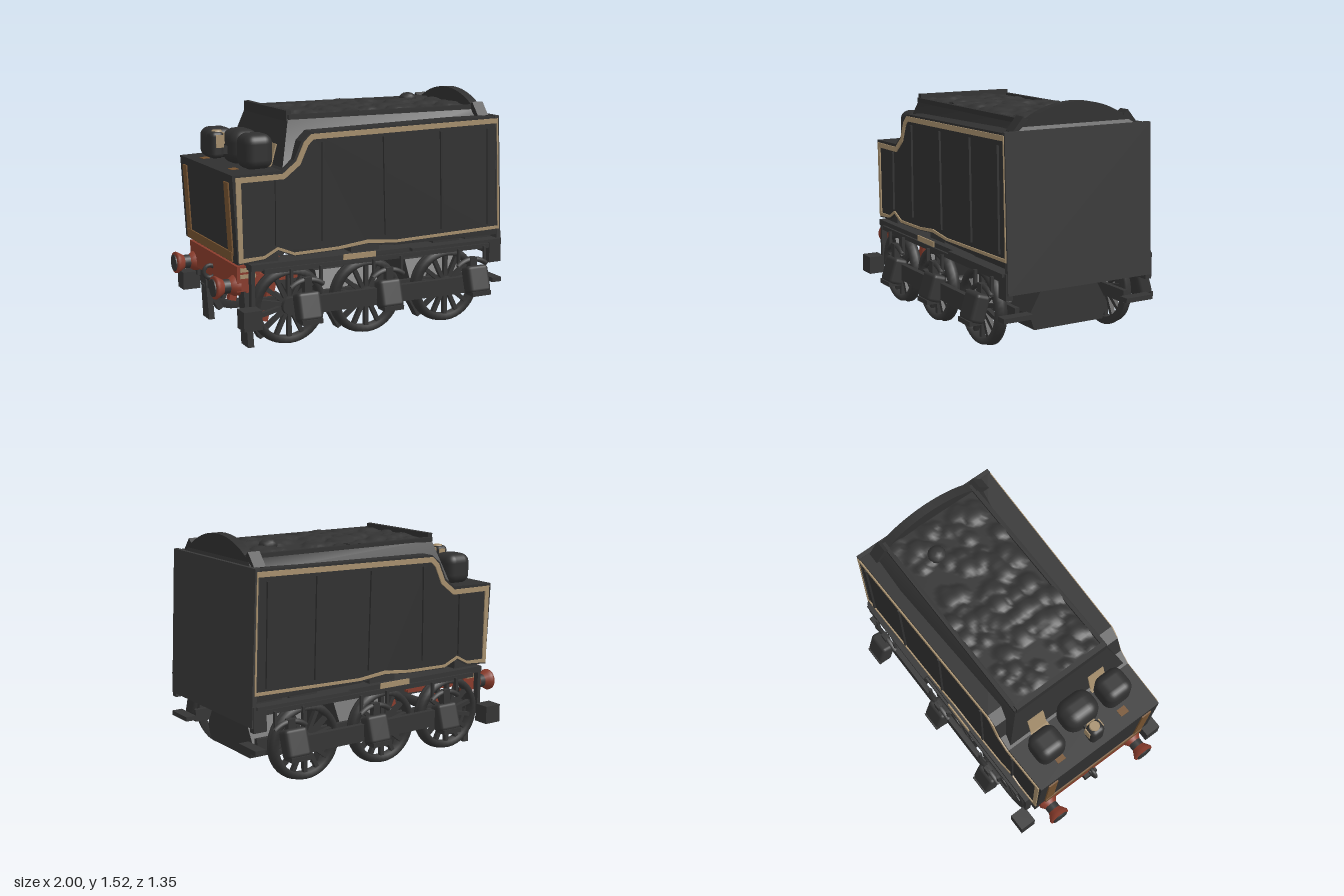
import * as THREE from 'three';
import { RoundedBoxGeometry } from 'three/addons/geometries/RoundedBoxGeometry.js';

const mat = (name, color, side = THREE.FrontSide) => {
  const m = new THREE.MeshStandardMaterial({ color, side });
  m.name = name;
  return m;
};

export function createModel() {
  const root = new THREE.Group();
  root.name = 'tender';
  const body = mat('body black', 0x303030);
  const iron = mat('iron grey', 0x353535, THREE.DoubleSide);
  const plate = mat('end plate grey', 0x393939);
  const coalMat = mat('coal black', 0x333333, THREE.DoubleSide);
  const gold = mat('lining tan', 0xa68f6d);
  const brown = mat('worn brown', 0x765330);
  const red = mat('beam red', 0x8a3c2c);

  const add = (name, geo, m, x = 0, y = 0, z = 0, parent = root) => {
    const mesh = new THREE.Mesh(geo, m);
    mesh.name = name;
    mesh.position.set(x, y, z);
    parent.add(mesh);
    return mesh;
  };
  // Box given by its limits on each axis
  const block = (name, m, x0, x1, y0, y1, z0, z1) =>
    add(name, new THREE.BoxGeometry(x1 - x0, y1 - y0, z1 - z0), m,
      (x0 + x1) / 2, (y0 + y1) / 2, (z0 + z1) / 2);
  const warp = (geo, fn) => {
    const p = geo.attributes.position, v = new THREE.Vector3();
    for (let i = 0; i < p.count; i++) {
      fn(v.fromBufferAttribute(p, i));
      p.setXYZ(i, v.x, v.y, v.z);
    }
    geo.computeVertexNormals();
    return geo;
  };
  const points = pts => pts.map(p => new THREE.Vector2(...p));
  const shape = pts => new THREE.Shape(points(pts));
  // The body narrows slightly toward its low end
  const halfWidth = x => 0.487 + 0.025 * x;
  const taper = geo => warp(geo, v => { v.z *= halfWidth(v.x) / 0.5; });
  const slab = (s, z0, z1) =>
    new THREE.ExtrudeGeometry(s, { depth: z1 - z0, bevelEnabled: false }).translate(0, 0, z0);

  // Water tank body with the stepped side outline
  const outline = [[-0.87, 0.55], [-0.7, 0.565], [-0.61, 0.615], [-0.5, 0.57], [-0.2, 0.58], [0, 0.6], [0.2, 0.575],
    [0.98, 0.575], [0.945, 1.365], [-0.38, 1.335], [-0.45, 1.28], [-0.5, 1.17], [-0.58, 1.11], [-0.9, 1.1]];
  add('tankBody', taper(slab(shape(outline), -0.5, 0.5)), body);

  // Tan lining frame and raised seams on both sides
  const outer = [[-0.865, 0.56], [-0.7, 0.575], [-0.61, 0.622], [-0.5, 0.578], [-0.2, 0.587], [0, 0.607], [0.2, 0.592],
    [0.977, 0.615], [0.945, 1.352], [-0.385, 1.322], [-0.435, 1.275], [-0.487, 1.16], [-0.575, 1.09], [-0.88, 1.085]];
  const inner = [[-0.837, 0.587], [-0.7, 0.592], [-0.61, 0.64], [-0.5, 0.595], [-0.2, 0.604], [0, 0.628], [0.2, 0.609],
    [0.965, 0.634], [0.938, 1.32], [-0.372, 1.289], [-0.408, 1.255], [-0.46, 1.14], [-0.565, 1.058], [-0.846, 1.053]];
  const lining = shape(outer);
  lining.holes.push(new THREE.Path(points(inner)));
  for (const s of [1, -1]) {
    add('sideLining', taper(slab(lining, s > 0 ? 0.5 : -0.509, s > 0 ? 0.509 : -0.5)), gold);
    for (const [x, top] of [[-0.62, 1.05], [-0.31, 1.27], [0.12, 1.28], [0.53, 1.29], [0.88, 1.29]]) {
      const z = s * halfWidth(x);
      const seam = block('sideSeam', body, x - 0.007, x + 0.007, 0.65, top, z - 0.014, z + 0.014);
      seam.rotation.z = x > 0 ? 0.03 : 0;
    }
    // Worn patches on the low end wall, deck and bunker front
    block('endPatch', brown, -0.894, -0.885, 0.6, 1.05, s * 0.37 - 0.035, s * 0.37 + 0.035).rotation.z = 0.055;
    block('deckMark', brown, -0.83, -0.78, 1.1, 1.107, s * 0.25 - 0.03, s * 0.25 + 0.03);
    block('deckPatch', gold, -0.6, -0.55, 1.107, 1.115, s * 0.235 - 0.065, s * 0.235 + 0.065);
    block('bunkerPatch', gold, -0.559, -0.55, 1.11, 1.25, s * 0.235 - 0.06, s * 0.235 + 0.06).rotation.z = -0.27;
  }
  block('endPatchLow', brown, -0.885, -0.876, 0.56, 0.62, -0.4, 0.4).rotation.z = 0.055;

  // Leaning rear plate
  add('rearPlate', warp(new THREE.BoxGeometry(0.03, 0.95, 1.03).translate(0, 0.895, 0),
    v => { v.x += 0.983 - Math.max(0, v.y - 0.5) * 0.05; }), plate);

  // Sloped coal bunker walls
  add('bunkerWalls', warp(new THREE.BoxGeometry(1, 1, 1), v => {
    const up = v.y > 0, back = v.x > 0, s = Math.sign(v.z);
    v.set(back ? (up ? 0.91 : 0.945) : (up ? -0.48 : -0.57), up ? 1.41 : (back ? 1.34 : 1.1), s * (up ? 0.345 : 0.455));
  }), body);
  for (const s of [1, -1]) block('bunkerRim', body, -0.48, 0.9, 1.4, 1.43, s * 0.34 - 0.014, s * 0.34 + 0.014);
  block('bunkerFrontRim', body, -0.49, -0.455, 1.39, 1.455, -0.34, 0.34);

  // Lumpy coal heap made of many rounded mounds
  let seed = 7;
  const rnd = () => (seed = (seed * 16807) % 2147483647) / 2147483647;
  const lumps = Array.from({ length: 110 }, () => [-0.43 + rnd() * 1.3, (rnd() - 0.5) * 0.64, 0.03 + rnd() * 0.04]);
  const coal = new THREE.PlaneGeometry(1.37, 0.66, 80, 40).rotateX(-Math.PI / 2).translate(0.21, 1.412, 0);
  add('coalHeap', warp(coal, v => {
    let h = 0;
    for (const [x, z, r] of lumps) {
      const d = Math.hypot(v.x - x, v.z - z) / r;
      if (d < 1) h = Math.max(h, r * 0.4 * Math.sqrt(1 - d * d));
    }
    v.y += h + 0.012 * (1 - (v.z / 0.33) ** 2);
  }), coalMat);
  add('largeCoal', new THREE.IcosahedronGeometry(0.06, 1).scale(1, 0.7, 1), coalMat, 0.63, 1.44, -0.12);

  // Arched board behind the coal
  const arch = new THREE.Shape();
  const half = Math.asin(0.42 / 0.63);
  arch.absarc(0, 0.89, 0.63, Math.PI / 2 - half, Math.PI / 2 + half, false);
  add('archBoard', new THREE.ExtrudeGeometry(arch, { depth: 0.06, bevelEnabled: false, curveSegments: 24 })
    .rotateY(Math.PI / 2), body, 0.86, 0, 0);
  for (const s of [1, -1])
    block('archCorner', body, 0.84, 0.92, 1.34, 1.45, s * 0.39 - 0.02, s * 0.39 + 0.02).rotation.x = -s * 0.7;

  // Deck fittings: two lockers, a centre box and its small lamp
  for (const [x, z, h] of [[-0.71, -0.28, 0.2], [-0.67, 0.265, 0.22]])
    add('deckLocker', new RoundedBoxGeometry(0.19, h, 0.2, 4, 0.06), body, x, 1.1 + h / 2, z);
  add('centreBox', new RoundedBoxGeometry(0.2, 0.23, 0.25, 4, 0.08), body, -0.655, 1.205, 0);
  add('lampBody', new RoundedBoxGeometry(0.09, 0.17, 0.1, 3, 0.03), body, -0.825, 1.225, 0);
  add('lampArm', new THREE.BoxGeometry(0.1, 0.05, 0.06), body, -0.76, 1.19, 0);
  for (const s of [1, -1]) add('lampGlass', new THREE.BoxGeometry(0.05, 0.08, 0.008), gold, -0.815, 1.25, s * 0.051);
  add('lampTop', new THREE.CylinderGeometry(0.03, 0.035, 0.009, 12), gold, -0.815, 1.311, 0);
  add('lampBack', new THREE.BoxGeometry(0.009, 0.07, 0.06), gold, -0.778, 1.265, 0);

  // Footplate, side frames and supports
  for (const s of [1, -1]) {
    const strip = (name, m, x0, x1, y0, y1, z0, z1) =>
      block(name, m, x0, x1, y0, y1, Math.min(s * z0, s * z1), Math.max(s * z0, s * z1));
    strip('footplate', iron, -0.8, 0.97, 0.51, 0.55, 0.36, 0.505);
    strip('footplateEnd', iron, 0.9, 0.99, 0.39, 0.55, 0.48, 0.525);
    strip('footplateEdge', iron, 0.3, 0.97, 0.53, 0.55, 0.5, 0.54);
    for (const x of [-0.7, 0, 0.6, 0.85]) strip('bodySupport', iron, x - 0.1, x + 0.1, 0.54, 0.6, 0.3, 0.46);
    strip('goldPatch', gold, -0.18, 0.05, 0.5, 0.555, 0.505, 0.514);
    strip('innerFrame', iron, -0.72, 0.9, 0.23, 0.31, 0.38, 0.41);
    strip('axleBeam', iron, -0.42, 0.72, 0.21, 0.32, 0.51, 0.545);
    strip('frameRail', iron, -0.72, 0.9, 0.49, 0.52, 0.47, 0.52);
    strip('rearStep', iron, 0.92, 0.99, 0.255, 0.285, 0.34, 0.54);
    // Low-end step with hanger
    strip('frontStep', iron, -0.89, -0.77, 0.17, 0.29, 0.49, 0.6);
    strip('stepHanger', iron, -0.8, -0.775, 0.27, 0.52, 0.46, 0.5);
    // Rail guard ahead of the first wheel
    add('railGuard', warp(new THREE.BoxGeometry(0.04, 0.36, 0.09), v => {
      if (v.y < 0) v.z *= 1.3; else v.x -= 0.02;
    }), iron, -0.765, 0.18, s * 0.345);
  }

  // Wheels with spokes, axles, axle boxes and springs
  const rim = new THREE.LatheGeometry(points([[0.2, -0.03], [0.25, -0.03], [0.25, -0.015], [0.24, -0.01],
    [0.238, 0.03], [0.2, 0.03], [0.2, -0.03]]), 40).rotateX(Math.PI / 2);
  const hubGeo = new THREE.CylinderGeometry(0.055, 0.065, 0.08, 16).rotateX(Math.PI / 2);
  const spokeGeo = new THREE.BoxGeometry(0.026, 0.17, 0.03).translate(0, 0.125, 0);
  for (const [x, boxX, boxY, boxZ] of [[-0.535, -0.45, 0.265, 0.56], [0.005, 0.12, 0.28, 0.56], [0.595, 0.75, 0.31, 0.6]]) {
    add('axle', new THREE.CylinderGeometry(0.035, 0.035, 0.9, 12).rotateX(Math.PI / 2), iron, x, 0.26, 0);
    for (const s of [1, -1]) {
      const wheel = new THREE.Group();
      wheel.name = 'wheel';
      wheel.position.set(x, 0.262, s * 0.46);
      if (s < 0) wheel.rotation.y = Math.PI;
      root.add(wheel);
      add('wheelRim', rim, iron, 0, 0, 0, wheel);
      add('wheelHub', hubGeo, iron, 0, 0, 0, wheel);
      for (let i = 0; i < 14; i++)
        add('wheelSpoke', spokeGeo, iron, 0, 0, 0, wheel).rotation.z = i * Math.PI / 7;
      const box = add('axleBox', new RoundedBoxGeometry(0.16, 0.18, 0.1, 2, 0.025), iron, boxX, boxY, s * boxZ);
      box.rotation.x = -s * 0.3;
      add('boxLid', new THREE.BoxGeometry(0.14, 0.03, 0.09), iron, boxX, boxY - 0.08, s * (boxZ + 0.03));
      for (const d of [-0.1, 0.1])
        add('springLink', new THREE.BoxGeometry(0.016, 0.12, 0.02), iron, boxX + d, 0.45, s * 0.54);
      add('spring', new THREE.TorusGeometry(0.17, 0.017, 6, 14, 1.4).rotateZ(Math.PI / 2 - 0.7), iron,
        boxX, 0.265, s * 0.55);
      add('springHanger', new THREE.BoxGeometry(0.05, 0.1, 0.04), iron, boxX, 0.4, s * 0.55);
      // Brake block beside each wheel
      add('brakeBlock', new THREE.BoxGeometry(0.04, 0.22, 0.07), iron, x - 0.2, 0.15, s * 0.36).rotation.z = 0.5;
    }
  }

  // Under-slung tanks with bevelled sections
  const section = shape([[-0.25, 0.14], [0.25, 0.14], [0.285, 0.24], [0.2, 0.39], [-0.2, 0.39], [-0.285, 0.24]]);
  for (const [x0, x1] of [[-0.23, 0.2], [0.44, 0.86]])
    add('underTank', new THREE.ExtrudeGeometry(section, { depth: x1 - x0, bevelEnabled: false })
      .rotateY(Math.PI / 2), iron, x0, 0, 0);

  // Red end beam, braces, buffers and coupling
  block('bufferBeam', red, -0.86, -0.8, 0.37, 0.53, -0.42, 0.42);
  block('beamShelf', red, -0.8, -0.7, 0.46, 0.53, -0.4, 0.4);
  block('crossMember', red, -0.42, -0.36, 0.39, 0.44, -0.25, 0.25);
  for (const s of [1, -1]) {
    block('beamBrace', red, -0.82, -0.38, 0.37, 0.43, s * 0.25 - 0.025, s * 0.25 + 0.025).rotation.y = s * 0.12;
    block('brakeHanger', red, -0.62, -0.57, 0.12, 0.42, s * 0.27 - 0.025, s * 0.27 + 0.025).rotation.z = -0.25;
    block('beamBracket', red, -0.8, -0.72, 0.36, 0.46, s * 0.4 - 0.02, s * 0.4 + 0.02);
    const turned = (name, m, profile) =>
      add(name, new THREE.LatheGeometry(points(profile), 20).rotateZ(-Math.PI / 2), m, -0.992, 0.4, s * 0.36);
    turned('bufferHead', red, [[0, 0], [0.07, 0], [0.072, 0.015], [0.06, 0.035], [0.045, 0.06]]);
    turned('bufferStem', iron, [[0.045, 0.06], [0.045, 0.1]]);
    turned('bufferSocket', red, [[0.045, 0.1], [0.065, 0.13], [0.065, 0.16]]);
    add('bufferFace', new THREE.CylinderGeometry(0.055, 0.055, 0.008, 20).rotateZ(Math.PI / 2), iron, -0.996, 0.4, s * 0.36);
    for (const y of [0.465, 0.505])
      block('beamPatch', gold, -0.84, -0.74, y - 0.012, y + 0.012, s * 0.424 - 0.0045, s * 0.424 + 0.0045);
  }
  add('couplingHook', new THREE.TorusGeometry(0.04, 0.014, 8, 16), iron, -0.88, 0.41, 0);
  block('drawbar', iron, -0.88, -0.23, 0.29, 0.35, -0.05, 0.05);
  return root;
}
